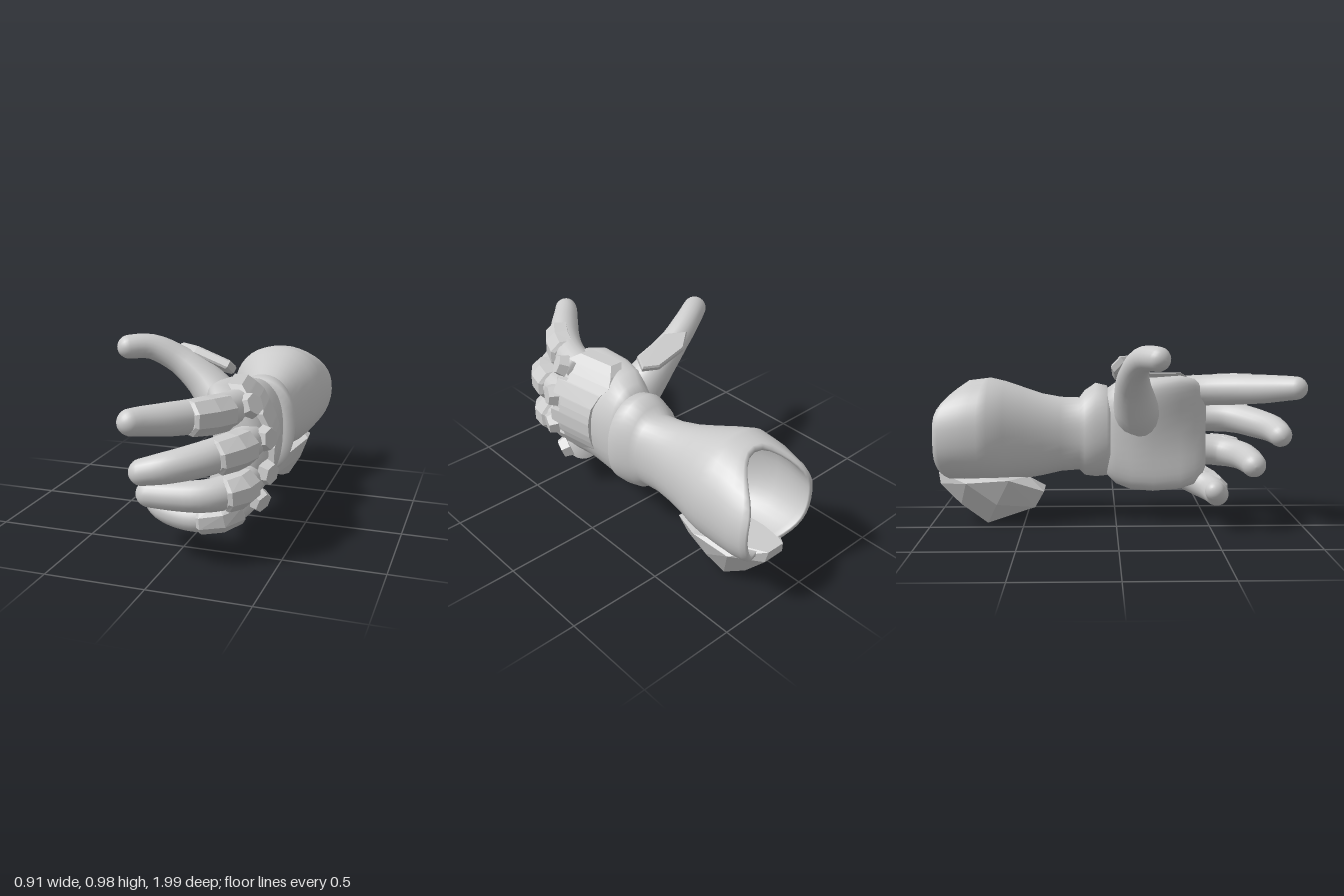
import * as THREE from 'three';
import { ConvexGeometry } from 'three/addons/geometries/ConvexGeometry.js';

const V = (x, y, z) => new THREE.Vector3(x, y, z);
const smooth = new THREE.MeshStandardMaterial({ color: 0xcccccc });
const faceted = new THREE.MeshStandardMaterial({ color: 0xcccccc, flatShading: true });

// Skin a list of equal-length closed rings; both ends close to their centre.
function loft(rings, flat = false) {
  const n = rings[0].length;
  const centre = (ring) => {
    const c = ring.reduce((s, p) => s.add(p), V(0, 0, 0)).divideScalar(n);
    return ring.map(() => c);
  };
  const all = [centre(rings[0]), ...rings, centre(rings[rings.length - 1])];
  const index = [];
  for (let i = 0; i < all.length - 1; i++) {
    for (let j = 0; j < n; j++) {
      const a = i * n + j, b = i * n + (j + 1) % n;
      if (i > 0) index.push(a, b, a + n);
      if (i < all.length - 2) index.push(b, b + n, a + n);
    }
  }
  let g = new THREE.BufferGeometry().setFromPoints(all.flat());
  g.setIndex(index);
  if (flat) g = g.toNonIndexed();
  g.computeVertexNormals();
  return g;
}

function add(group, name, geometry, material = smooth) {
  const mesh = new THREE.Mesh(geometry, material);
  mesh.name = name;
  group.add(mesh);
  return mesh;
}

// Linear lookup in a table whose first column is the key, in rising order.
function lookup(table, key) {
  let i = 0;
  while (i < table.length - 2 && key > table[i + 1][0]) i++;
  const [p, q] = [table[i], table[i + 1]];
  const t = THREE.MathUtils.clamp((key - p[0]) / (q[0] - p[0]), 0, 1);
  return p.map((v, k) => v + (q[k] - v) * t);
}

// Round digit along [x, y, z, radius] points.
function digit(points) {
  const curve = new THREE.CatmullRomCurve3(points.map((p) => V(p[0], p[1], p[2])));
  const radii = points.map((p, i) => [i / (points.length - 1), p[3]]);
  const length = curve.getLength();
  const ring = (u, sides, scale, shift = 0) => {
    const c = curve.getPointAt(u), t = curve.getTangentAt(u);
    const n = V(0, 1, 0).cross(t).normalize(), b = t.clone().cross(n);
    const r = lookup(radii, curve.getUtoTmapping(u))[1] * scale;
    c.add(V(shift, 0, shift * 0.7));
    return Array.from({ length: sides }, (_, j) => {
      const a = ((j + 0.5) / sides) * Math.PI * 2;
      return c.clone().addScaledVector(n, r * Math.cos(a)).addScaledVector(b, r * Math.sin(a));
    });
  };
  return {
    body() {
      const tip = points[points.length - 1][3] / length, rings = [];
      for (let i = 0; i <= 20; i++) rings.push(ring((i / 20) * (1 - tip), 20, 1));
      for (let i = 1; i <= 7; i++) {
        const a = (i / 7.2) * Math.PI / 2;
        rings.push(ring(1 - tip + tip * Math.sin(a), 20, Math.cos(a)));
      }
      return loft(rings);
    },
    guard(a, b) {
      const m = (a + b) / 2;
      return loft([ring(a, 8, 0.9, 0.012), ring(a + 0.015, 8, 1.07, 0.018), ring(m, 8, 1.1, 0.02),
        ring(b - 0.015, 8, 1.07, 0.018), ring(b, 8, 0.94, 0.012)], true);
    },
  };
}

// Rounded ring in a plane of constant or varying z.
const spow = (v, e) => Math.sign(v) * Math.abs(v) ** e;

// Forearm section: z, centre x, centre y, half width, half height
const sleeveTable = [
  [-1, 0.17, 0.49, 0.25, 0.23], [-0.9, 0.165, 0.49, 0.265, 0.255], [-0.8, 0.16, 0.5, 0.27, 0.275],
  [-0.68, 0.158, 0.505, 0.267, 0.285], [-0.6, 0.17, 0.495, 0.235, 0.275], [-0.5, 0.18, 0.485, 0.195, 0.25],
  [-0.4, 0.19, 0.475, 0.165, 0.225], [-0.3, 0.205, 0.475, 0.145, 0.205], [-0.2, 0.22, 0.475, 0.145, 0.2],
  [-0.17, 0.22, 0.48, 0.165, 0.235], [-0.11, 0.23, 0.495, 0.175, 0.26], [-0.05, 0.235, 0.49, 0.18, 0.25],
  [-0.03, 0.22, 0.49, 0.15, 0.22],
];

function sleeve() {
  const ring = (z, wall) => Array.from({ length: 40 }, (_, j) => {
    const a = (j / 40) * Math.PI * 2, c = Math.cos(a), s = Math.sin(a);
    // The rim is notched on top and cut back a little below.
    const end = -0.98 - 0.02 * c + 0.18 * Math.max(0, s) ** 4 + 0.08 * Math.max(0, -s) ** 4;
    const zz = z > -0.68 ? z : -0.68 + ((z + 0.68) / 0.32) * (end + 0.68) * -1;
    const [, cx, cy, rx, ry] = lookup(sleeveTable, zz);
    return V(cx + (rx - wall) * spow(c, 0.92), cy + (ry - wall) * spow(s, 0.92), zz);
  });
  const inner = [-0.45, -0.55, -0.65, -0.75, -0.85, -0.95, -0.995].map((z) => ring(z, 0.03));
  const outer = [-1, -0.97, -0.9, -0.85, -0.8, -0.74, ...sleeveTable.slice(3).map((r) => r[0])];
  return loft([...inner, ring(-1, 0.02), ...outer.map((z) => ring(z, z === -1 ? 0.006 : 0))]);
}

// Palm section: z, centre x, centre y, half width, half height, bend
function palm() {
  const table = [
    [-0.07, 0.22, 0.49, 0.13, 0.22, 0], [0, 0.22, 0.48, 0.145, 0.28, 0.2], [0.08, 0.21, 0.48, 0.16, 0.305, 0.5],
    [0.2, 0.22, 0.48, 0.16, 0.31, 0.9], [0.35, 0.255, 0.49, 0.15, 0.31, 1.2], [0.43, 0.27, 0.49, 0.13, 0.29, 1.2],
    [0.48, 0.27, 0.49, 0.1, 0.25, 1.2], [0.5, 0.27, 0.49, 0.05, 0.2, 1.2],
  ];
  return loft(table.map(([z, cx, cy, rx, ry, bend]) => Array.from({ length: 36 }, (_, j) => {
    const a = (j / 36) * Math.PI * 2, dy = ry * spow(Math.sin(a), 0.8);
    return V(cx + rx * spow(Math.cos(a), 0.8) - bend * dy * dy, cy + dy, z);
  })));
}

// Curved plate over the back of the hand, with a notch for each knuckle
function backPlate() {
  const rear = [[0.19, 0.16], [0.27, 0.08], [0.35, 0.14], [0.65, 0.14], [0.74, 0.08], [0.81, 0.15]];
  const rows = [[0.19, 0.36]];
  for (const c of [0.25, 0.41, 0.57, 0.73]) {
    rows.push([c - 0.045, 0.41], [c - 0.04, 0.35], [c, 0.345], [c + 0.04, 0.35], [c + 0.045, 0.41]);
  }
  rows.push([0.81, 0.36]);
  return loft(rows.map(([y, z1]) => {
    const z0 = lookup(rear, y)[1];
    const x = (z) => 0.40 + 0.15 * (z - 0.2) - 1.8 * (y - 0.5) ** 2;
    return [V(x(z1), y, z1), V(x(z0), y, z0), V(x(z0) - 0.07, y, z0), V(x(z1) - 0.07, y, z1)];
  }), true);
}

// Bevelled hexagonal plate facing along a normal
function hexPlate(group, name, position, normal, radius, stretch = 1, thickness = 0.05) {
  const g = new THREE.CylinderGeometry(radius * 0.8, radius, thickness, 6).scale(1, 1, stretch);
  const mesh = add(group, name, g.toNonIndexed(), faceted);
  mesh.geometry.computeVertexNormals();
  mesh.position.set(...position);
  mesh.quaternion.setFromUnitVectors(V(0, 1, 0), V(...normal).normalize());
  return mesh;
}

export function createModel() {
  const model = new THREE.Group();
  model.name = 'gauntletHand';
  add(model, 'forearmSleeve', sleeve());
  add(model, 'palm', palm());
  add(model, 'backPlate', backPlate(), faceted);

  // Fingers, each with a guard and a knuckle plate
  const fingers = [
    { name: 'index', guard: [0.22, 0.54], knuckle: [0.325, 0.735, 0.44], normal: [0.8, 0.4, 0.4],
      points: [[0.24, 0.7, 0.36, 0.09], [0.21, 0.715, 0.5, 0.085], [0.14, 0.725, 0.65, 0.083],
        [0.04, 0.735, 0.79, 0.077], [-0.06, 0.748, 0.91, 0.064], [-0.11, 0.752, 0.985, 0.055]] },
    { name: 'middle', guard: [0.17, 0.45], knuckle: [0.4, 0.58, 0.44], normal: [0.95, 0.12, 0.35],
      points: [[0.31, 0.56, 0.4, 0.09], [0.3, 0.56, 0.52, 0.085], [0.26, 0.56, 0.64, 0.083],
        [0.15, 0.54, 0.76, 0.08], [0.03, 0.52, 0.84, 0.072], [-0.12, 0.487, 0.87, 0.056]] },
    { name: 'ring', guard: [0.17, 0.4], knuckle: [0.41, 0.41, 0.44], normal: [0.95, -0.12, 0.35],
      points: [[0.31, 0.38, 0.4, 0.09], [0.28, 0.365, 0.6, 0.083], [0.18, 0.355, 0.69, 0.077],
        [0.05, 0.35, 0.715, 0.072], [-0.15, 0.345, 0.72, 0.062]] },
    { name: 'little', guard: [0.2, 0.52], knuckle: [0.36, 0.25, 0.4], normal: [0.85, -0.35, 0.4],
      points: [[0.28, 0.27, 0.34, 0.09], [0.22, 0.21, 0.45, 0.08], [0.12, 0.18, 0.525, 0.072],
        [0, 0.177, 0.535, 0.064], [-0.1, 0.2, 0.525, 0.058], [-0.18, 0.245, 0.49, 0.047]] },
  ];
  for (const f of fingers) {
    const finger = new THREE.Group(), shape = digit(f.points);
    finger.name = f.name + 'Finger';
    add(finger, f.name + 'FingerBody', shape.body());
    add(finger, f.name + 'Guard', shape.guard(...f.guard), faceted);
    hexPlate(finger, f.name + 'Knuckle', f.knuckle, f.normal, 0.065);
    model.add(finger);
  }

  // Thumb and the plate over its base
  const thumb = digit([[0.2, 0.5, 0.14, 0.12], [0.09, 0.62, 0.11, 0.125], [-0.04, 0.755, 0.085, 0.095],
    [-0.17, 0.85, 0.09, 0.073], [-0.3, 0.915, 0.13, 0.064], [-0.39, 0.92, 0.185, 0.062], [-0.45, 0.912, 0.23, 0.058]]);
  add(model, 'thumb', thumb.body());
  const plate = new THREE.Shape([[-0.15, 0], [-0.08, 0.055], [0.08, 0.06], [0.15, 0.02], [0.13, -0.04], [-0.05, -0.055]]
    .map(([x, y]) => new THREE.Vector2(x, y)));
  const plateGeo = new THREE.ExtrudeGeometry(plate, { depth: 0.03, bevelSize: 0.008, bevelThickness: 0.01, bevelSegments: 1 });
  const along = V(0.94, -0.3, 0.08).normalize(), out = V(0.3, 0.8, -0.5);
  const up = out.clone().cross(along).normalize();
  plateGeo.applyMatrix4(new THREE.Matrix4().makeBasis(along, up, along.clone().cross(up)).setPosition(-0.04, 0.845, 0.045));
  add(model, 'thumbPlate', plateGeo, faceted);

  // Faceted guard under the elbow end of the sleeve
  const elbow = [
    [0.1, 0, -0.7], [0.23, 0.01, -0.71], [0.1, 0.03, -0.62], [0.22, 0.03, -0.62],
    [0.08, 0.09, -0.44], [0.22, 0.09, -0.44], [0.06, 0.18, -0.39], [0.24, 0.18, -0.39],
    [0, 0.12, -0.64], [0.31, 0.14, -0.66], [-0.05, 0.26, -0.57], [0.36, 0.27, -0.62],
    [-0.02, 0.24, -0.8], [0.33, 0.24, -0.82], [0.08, 0.11, -0.84], [0.22, 0.1, -0.84],
    [0.09, 0.22, -0.95], [0.21, 0.22, -0.95], [0.1, 0.28, -0.96], [0.2, 0.28, -0.96], [0.15, 0.25, -0.48],
  ];
  add(model, 'elbowGuard', new ConvexGeometry(elbow.map((p) => V(...p))), faceted);
  return model;
}
